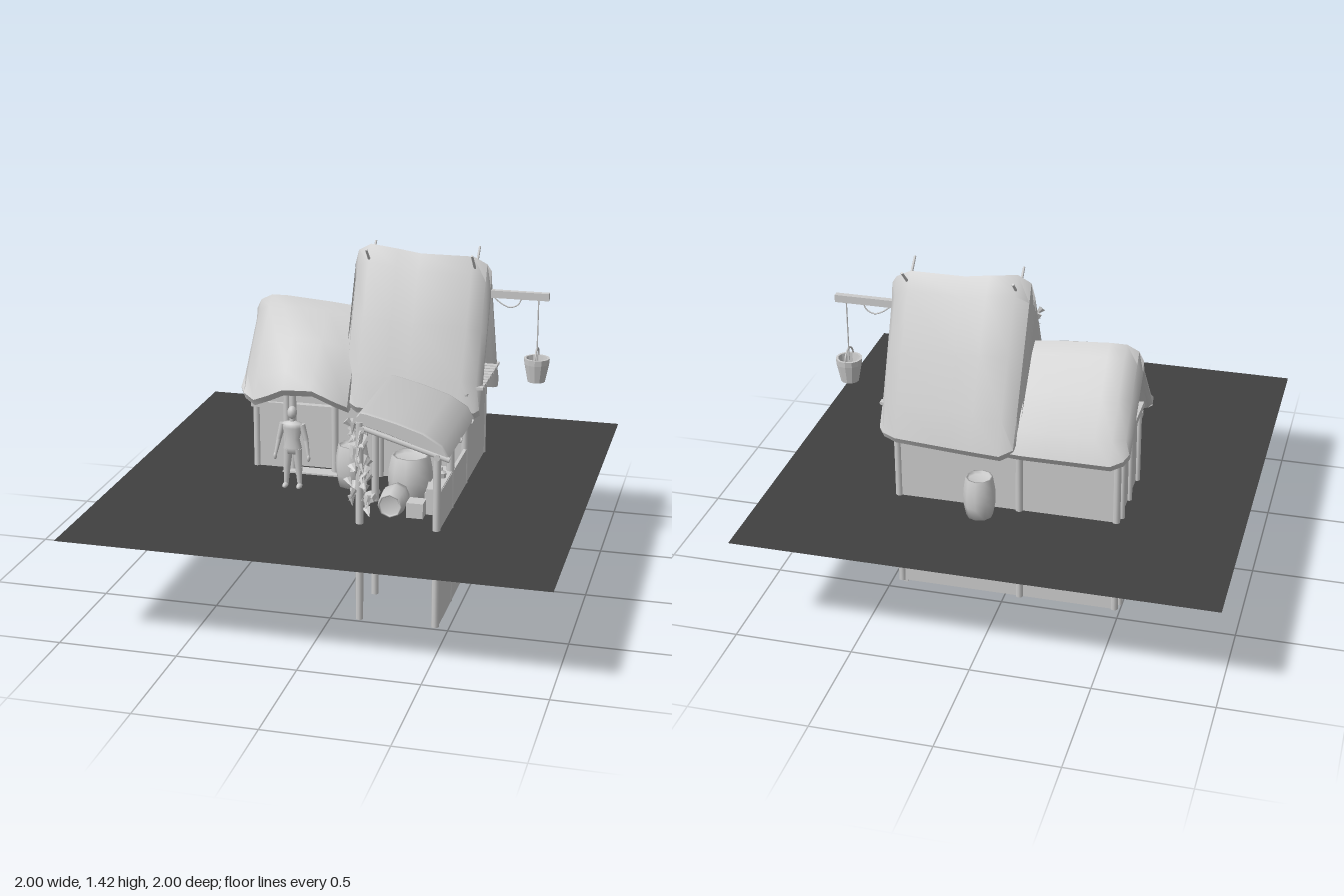
import * as THREE from 'three';
import { toCreasedNormals } from 'three/addons/utils/BufferGeometryUtils.js';

const grey = new THREE.MeshStandardMaterial({ color: 0xcccccc, side: THREE.DoubleSide });
const faceted = new THREE.MeshStandardMaterial({ color: 0xcccccc, side: THREE.DoubleSide, flatShading: true });
const dark = new THREE.MeshStandardMaterial({ color: 0x404040, side: THREE.DoubleSide });

export function createModel() {
  const model = new THREE.Group();

  const add = (name, geo, pos = [0, 0, 0], mat = grey, parent = model) => {
    const m = new THREE.Mesh(geo, mat);
    m.name = name;
    m.position.set(...pos);
    parent.add(m);
    return m;
  };
  // Box given by its minimum and maximum corners
  const box = (name, a, b, parent = model) => add(name,
    new THREE.BoxGeometry(b[0] - a[0], b[1] - a[1], b[2] - a[2]),
    a.map((v, i) => (v + b[i]) / 2), grey, parent);
  // Round bar between two points
  const bar = (name, a, b, r, r2 = r, sides = 8, parent = model) => {
    const p = new THREE.Vector3(...a), q = new THREE.Vector3(...b), d = q.clone().sub(p);
    const m = add(name, new THREE.CylinderGeometry(r2, r, d.length(), sides),
      p.clone().add(q).multiplyScalar(0.5).toArray(), grey, parent);
    m.quaternion.setFromUnitVectors(new THREE.Vector3(0, 1, 0), d.normalize());
    return m;
  };
  const lathe = (name, pts, pos, sides = 8, mat = faceted, parent = model) =>
    add(name, new THREE.LatheGeometry(pts.map(p => new THREE.Vector2(...p)), sides), pos, mat, parent);
  const barrel = (name, r, h, pos, sides = 10) => lathe(name,
    [[0, 0], [r * 0.82, 0], [r * 0.97, h * 0.3], [r, h * 0.5], [r * 0.97, h * 0.7],
      [r * 0.84, h], [r * 0.74, h], [r * 0.72, h * 0.92], [0, h * 0.92]], pos, sides, grey);
  // Solid skin over (z, y) cross-sections placed along x
  const loft = (name, sections) => {
    const n = sections[0].ring.length, pos = [], idx = [];
    sections.forEach(s => s.ring.forEach(([z, y]) => pos.push(s.x, y, z)));
    for (let i = 0; i < sections.length - 1; i++)
      for (let j = 0; j < n; j++) {
        const a = i * n + j, b = i * n + (j + 1) % n, c = a + n, d = b + n;
        idx.push(a, c, b, b, c, d);
      }
    const last = (sections.length - 1) * n;
    [0, last].forEach(o => {
      const ring = sections[o / n].ring.map(p => new THREE.Vector2(...p));
      THREE.ShapeUtils.triangulateShape(ring, []).forEach(([a, b, c]) =>
        o ? idx.push(o + a, o + c, o + b) : idx.push(a, b, c));
    });
    const g = new THREE.BufferGeometry();
    g.setAttribute('position', new THREE.Float32BufferAttribute(pos, 3));
    g.setIndex(idx);
    return add(name, toCreasedNormals(g, 0.7));
  };

  // Ground sheet
  const ground = add('ground', new THREE.PlaneGeometry(2, 2), [0, 0.445, 0], dark);
  ground.rotation.x = -Math.PI / 2;

  // Walls
  box('foundation', [0.43, 0, -0.45], [0.45, 0.03, -0.08]);
  box('backWall', [-0.49, 0.02, -0.465], [0.46, 0.85, -0.45]);
  box('frontWallLeft', [-0.49, 0.02, -0.06], [-0.32, 0.8, -0.045]);
  box('frontWallRight', [-0.12, 0.02, -0.06], [0.46, 0.85, -0.045]);
  box('frontWallBase', [-0.32, 0.02, -0.06], [-0.12, 0.44, -0.045]);
  box('door', [-0.32, 0.44, -0.09], [-0.12, 0.82, -0.08]);
  box('rightWall', [0.445, 0.02, -0.45], [0.46, 0.85, -0.06]);
  const gable = (name, x, low, top, z0, z1) => {
    const ring = [[z1, 0.02], [z1, low], [-0.27, top], [z0, low], [z0, 0.02]];
    loft(name, [x, x + 0.015].map(v => ({ x: v, ring })));
  };
  gable('leftGable', -0.49, 0.8, 1.06, -0.46, -0.05);
  gable('innerGable', -0.06, 0.85, 1.3, -0.46, -0.06);
  gable('loftGable', 0.33, 0.86, 1.3, -0.45, -0.07);

  // Posts: [x, z, top]
  [[-0.48, -0.05, 0.8], [-0.48, -0.46, 0.8], [-0.34, -0.04, 0.82], [-0.31, -0.03, 0.82],
    [-0.12, -0.03, 0.82], [0.08, -0.04, 0.78], [0.45, -0.05, 0.85], [0.45, -0.46, 0.85],
    [-0.07, -0.465, 0.8], [0.13, 0.515, 0.88], [0.13, 0.25, 0.86], [0.45, 0.515, 0.77], [0.45, 0.25, 0.78]]
    .forEach(([x, z, top]) => bar('post', [x, 0.02, z], [x, top, z], 0.016));
  for (const z of [-0.42, -0.27, -0.1]) bar('gablePost', [-0.495, 0.02, z], [-0.495, 0.8, z], 0.012);
  box('frontBeam', [-0.5, 0.72, -0.06], [0.47, 0.745, -0.03]);
  box('leftBeam', [-0.51, 0.78, -0.47], [-0.48, 0.81, -0.04]);

  // Thatched roofs: ring with rounded eaves, e pulls the outer skin inward
  const thatch = ({ top, zf, yf, zb, yb, t, e = 0 }) => {
    const R = -0.275, bulge = 0.018 - e * 0.6;
    const mid = (z, y, k) => [R + (z - R) * k + Math.sign(z - R) * bulge, top - e + (y - top + e) * k + bulge * 0.6];
    const f = zf - e * 0.7, b = zb + e * 0.7;
    return [[zf - 0.06, yf + 0.005], [f - 0.02, yf], [f, yf + 0.03], mid(f, yf + 0.03, 0.8), mid(f, yf + 0.03, 0.45),
      mid(f, yf + 0.03, 0.12), [R, top - e], mid(b, yb + 0.03, 0.12), mid(b, yb + 0.03, 0.45),
      mid(b, yb + 0.03, 0.8), [b, yb + 0.03], [b + 0.02, yb], [zb + 0.06, yb + 0.005], [R, top - t]];
  };
  const roof = (name, rows, t) => loft(name, rows.map(([x, top, zf, yf, zb, yb, e]) =>
    ({ x, ring: thatch({ top, zf, yf, zb, yb, t, e }) })));
  roof('mainRoof', [
    [-0.09, 1.4, 0, 0.79, -0.59, 0.79, 0.07], [-0.075, 1.42, 0, 0.76, -0.6, 0.76, 0.03],
    [-0.02, 1.42, 0, 0.735, -0.6, 0.735, 0], [0.1, 1.405, 0, 0.73, -0.59, 0.735, 0],
    [0.2, 1.39, -0.005, 0.73, -0.58, 0.735, 0], [0.43, 1.39, -0.01, 0.735, -0.555, 0.735, 0],
    [0.49, 1.385, -0.01, 0.74, -0.545, 0.74, 0.025], [0.51, 1.38, -0.01, 0.75, -0.54, 0.75, 0.05]], 0.13);
  roof('sideRoof', [
    [-0.54, 1.16, 0.02, 0.78, -0.575, 0.78, 0.06], [-0.52, 1.165, 0.02, 0.76, -0.58, 0.76, 0.025],
    [-0.47, 1.165, 0.03, 0.74, -0.58, 0.74, 0], [-0.4, 1.165, 0.045, 0.77, -0.58, 0.74, 0],
    [-0.33, 1.16, 0.06, 0.805, -0.58, 0.74, 0], [-0.2, 1.15, 0.06, 0.81, -0.58, 0.74, 0],
    [-0.1, 1.14, 0.05, 0.765, -0.58, 0.74, 0], [-0.05, 1.135, 0.03, 0.74, -0.575, 0.74, 0]], 0.1);

  // Crossed ridge sticks
  for (const x of [-0.02, 0.44]) for (const s of [-1, 1])
    bar('ridgeStick', [x, 1.3, -0.27 - s * 0.03], [x, 1.415, -0.27 + s * 0.09], 0.007, 0.005, 6);

  // Loft in the right gable
  const slats = (name, x0, x1, y, z0, z1, n) => {
    for (let i = 0; i < n; i++) {
      const z = z0 + (z1 - z0) * (i + 0.5) / n, w = (z1 - z0) / n * 0.36;
      box(name, [x0, y, z - w], [x1, y + 0.012, z + w]);
    }
  };
  slats('loftPlank', 0.33, 0.52, 0.862, -0.47, -0.06, 10);
  box('loftBeam', [0.44, 0.845, -0.47], [0.47, 0.862, -0.05]);
  box('collarBeam', [0.45, 1.14, -0.36], [0.47, 1.16, -0.18]);
  for (const s of [-1, 1]) bar('rafter', [0.46, 0.86, -0.27 + s * 0.19], [0.46, 1.26, -0.27], 0.012);
  barrel('loftBarrel', 0.05, 0.1, [0.42, 0.875, -0.19]);
  barrel('loftPot', 0.045, 0.09, [0.42, 0.875, -0.36]);
  add('loftSack', new THREE.SphereGeometry(0.038, 10, 8), [0.47, 0.905, -0.15]);

  // Hoist with bucket
  box('hoistBeam', [0.33, 1.218, -0.285], [0.76, 1.25, -0.26]);
  bar('hoistRope', [0.715, 0.95, -0.272], [0.715, 1.22, -0.272], 0.003, 0.003, 5);
  add('slackRope', new THREE.TubeGeometry(new THREE.CatmullRomCurve3(
    [[0.52, 1.22], [0.56, 1.19], [0.595, 1.178], [0.63, 1.195], [0.64, 1.22]]
      .map(([x, y]) => new THREE.Vector3(x, y, -0.272))), 16, 0.003, 5));
  lathe('bucket', [[0, 0], [0.038, 0], [0.054, 0.08], [0.056, 0.105], [0.046, 0.105], [0.036, 0.015], [0, 0.015]],
    [0.715, 0.857, -0.272], 12);
  add('bucketHandle', new THREE.TorusGeometry(0.05, 0.004, 5, 14, Math.PI), [0.715, 0.955, -0.272]).rotation.y = Math.PI / 2;

  // Side porch
  slats('porchPlank', 0.09, 0.5, 0.418, -0.03, 0.55, 14);
  box('porchBeam', [0.45, 0.402, -0.03], [0.47, 0.418, 0.54]);
  box('porchLowerWall', [0.448, 0.02, -0.04], [0.462, 0.41, 0.51]);
  box('porchRailWall', [0.448, 0.43, -0.03], [0.462, 0.605, 0.5]);
  box('porchShelf', [0.4, 0.5, 0.21], [0.46, 0.61, 0.49]);
  bar('porchHighBeam', [0.14, 0.85, -0.03], [0.14, 0.85, 0.53], 0.014);
  bar('porchLowBeam', [0.45, 0.76, -0.03], [0.45, 0.76, 0.53], 0.014);
  for (const z of [0.03, 0.27, 0.515]) bar('porchRafter', [0.11, 0.865, z], [0.5, 0.75, z], 0.012);
  const cover = new THREE.Shape([[0.12, 0.875], [0.25, 0.84], [0.38, 0.795], [0.47, 0.755], [0.492, 0.76],
    [0.465, 0.805], [0.39, 0.85], [0.28, 0.885], [0.16, 0.915], [0.135, 0.918], [0.12, 0.9]].map(p => new THREE.Vector2(...p)));
  add('porchRoof', toCreasedNormals(new THREE.ExtrudeGeometry(cover,
    { depth: 0.5, bevelThickness: 0.015, bevelSize: 0.004, bevelSegments: 2 }), 0.7), [0, 0, 0.005]);

  // Steps rising to the door
  for (let i = 0; i < 7; i++) {
    const y = 0.16 + i * 0.045, z = 0.19 - i * 0.034;
    box('step', [-0.345, y, z - 0.035], [-0.07, y + 0.022, z + 0.035]);
  }

  // Barrels and goods
  barrel('frontBarrel', 0.075, 0.185, [-0.01, 0.443, 0.09], 8);
  barrel('backBarrel', 0.067, 0.18, [0.08, 0.443, -0.535], 10);
  barrel('porchBarrel', 0.095, 0.2, [0.27, 0.445, 0.2], 10);
  barrel('lyingBarrel', 0.06, 0.15, [0.24, 0.505, 0.3], 8).rotation.x = Math.PI / 2;
  barrel('smallPot', 0.05, 0.1, [0.37, 0.445, 0.2]);
  box('crate', [0.3, 0.445, 0.34], [0.37, 0.51, 0.41]);
  box('smallCrate', [0.36, 0.445, 0.28], [0.42, 0.53, 0.33]);
  lathe('bottle', [[0, 0], [0.02, 0], [0.022, 0.02], [0.008, 0.03], [0.008, 0.045], [0, 0.045]], [0.43, 0.61, 0.34]);
  box('leaningPlank', [0.07, 0.45, 0.2], [0.14, 0.47, 0.32]).rotation.z = 0.4;

  // Climbing vine on the corner post
  let seed = 7;
  const rnd = () => (seed = (seed * 16807) % 2147483647) / 2147483647;
  const leaf = new THREE.ConeGeometry(0.017, 0.05, 4).scale(1, 1, 0.3);
  for (let i = 0; i < 70; i++) {
    const a = rnd() * Math.PI * 2, r = 0.015 + rnd() * 0.03;
    const m = add('vineLeaf', leaf, [0.125 + Math.cos(a) * r, 0.5 + 0.38 * i / 70, 0.525 + Math.sin(a) * r], faceted);
    m.rotation.set(2 + rnd() * 1.2, a, rnd() * 1.6 - 0.8);
  }

  // Standing person
  const person = new THREE.Group();
  person.name = 'person';
  person.position.set(-0.25, 0.445, 0.18);
  model.add(person);
  add('head', new THREE.SphereGeometry(0.023, 12, 10).scale(0.9, 1.25, 1), [0, 0.335, 0], grey, person);
  bar('neck', [0, 0.29, 0], [0, 0.32, 0], 0.011, 0.011, 8, person);
  const torso = lathe('torso', [[0, 0.15], [0.036, 0.155], [0.04, 0.18], [0.031, 0.22], [0.044, 0.27], [0.042, 0.29], [0, 0.302]],
    [0, 0, 0], 14, grey, person);
  torso.scale.z = 0.6;
  for (const s of [-1, 1]) {
    const limb = (name, a, b, r, r2) => bar(name, [a[0] * s, a[1], a[2]], [b[0] * s, b[1], b[2]], r, r2, 10, person);
    limb('upperArm', [0.042, 0.285, 0], [0.06, 0.215, 0], 0.014, 0.011);
    limb('forearm', [0.06, 0.215, 0], [0.072, 0.15, 0.012], 0.011, 0.007);
    add('hand', new THREE.SphereGeometry(0.01, 8, 6).scale(0.8, 1.6, 1), [0.074 * s, 0.14, 0.014], grey, person);
    limb('thigh', [0.02, 0.175, 0], [0.026, 0.09, 0], 0.021, 0.015);
    limb('shin', [0.026, 0.09, 0], [0.03, 0.015, 0], 0.015, 0.01);
    add('foot', new THREE.SphereGeometry(0.014, 8, 6).scale(0.9, 0.8, 1.9), [0.031 * s, 0.01, 0.012], grey, person);
  }
  return model;
}
